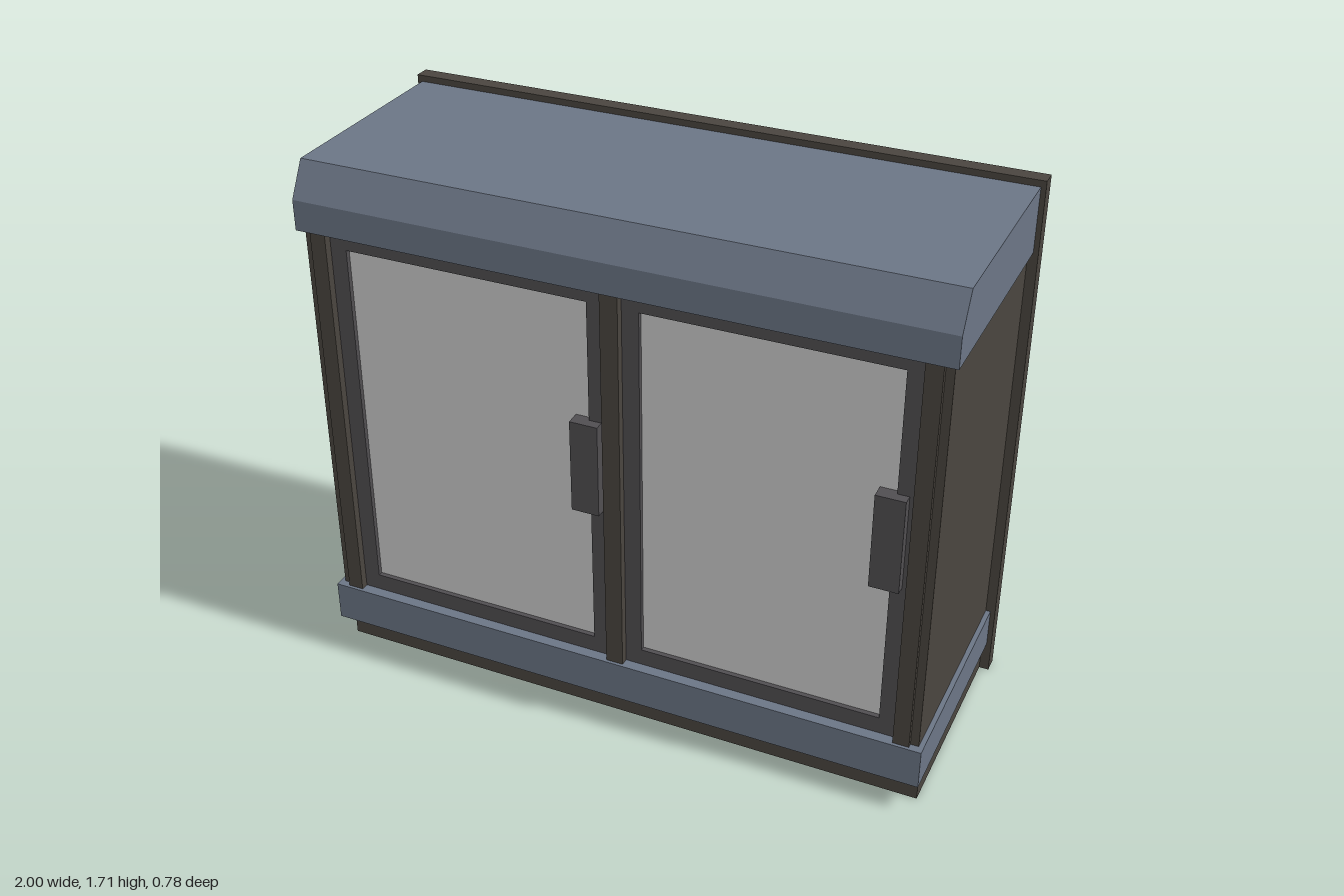
import * as THREE from 'three';

const mat = (color) => new THREE.MeshStandardMaterial({ color });

export function createModel() {
  const group = new THREE.Group();
  const dark = mat(0x4a453f), blue = mat(0x6b7585), metal = mat(0x504e51), pane = mat(0xcccccc);

  // Box given by its extents on each axis
  const box = (name, material, [x0, x1], [y0, y1], [z0, z1], parent = group) => {
    const mesh = new THREE.Mesh(new THREE.BoxGeometry(x1 - x0, y1 - y0, z1 - z0), material);
    mesh.position.set((x0 + x1) / 2, (y0 + y1) / 2, (z0 + z1) / 2);
    mesh.name = name;
    parent.add(mesh);
  };

  // Cabinet carcass
  box('backPanel', dark, [-1, 1], [0, 1.71], [-0.39, -0.34]);
  box('plinth', dark, [-0.97, 0.97], [0, 0.1], [-0.34, 0.33]);
  box('body', dark, [-0.945, 0.945], [0.23, 1.49], [-0.34, 0.32]);
  box('lowerBand', blue, [-0.985, 0.985], [0.1, 0.23], [-0.34, 0.39]);

  // Hood with a chamfered front edge, extruded across the width
  const profile = new THREE.Shape([
    [-0.34, 1.49], [0.39, 1.49], [0.39, 1.585], [0.33, 1.69], [-0.34, 1.69],
  ].map(([z, y]) => new THREE.Vector2(-z, y)));
  const hoodGeometry = new THREE.ExtrudeGeometry(profile, { depth: 1.97, bevelEnabled: false });
  hoodGeometry.translate(0, 0, -0.985).rotateY(Math.PI / 2);
  const hood = new THREE.Mesh(hoodGeometry, blue);
  hood.name = 'hood';
  group.add(hood);

  // Side walls and front posts
  for (const s of [-1, 1]) {
    const span = (a, b) => (s > 0 ? [a, b] : [-b, -a]);
    box('sideWall', dark, span(0.945, 0.97), [0.23, 1.49], [-0.34, 0.365]);
    box('cornerPost', dark, span(0.895, 0.945), [0.23, 1.49], [0.31, 0.38]);
  }
  box('centrePost', dark, [-0.02, 0.035], [0.23, 1.49], [0.31, 0.38]);

  // Two framed doors with panes and pull handles
  for (const [x0, x1, handleX] of [[-0.895, -0.02, -0.12], [0.035, 0.895, 0.79]]) {
    const door = new THREE.Group();
    door.name = 'door';
    const depth = [0.31, 0.355], rail = 0.052;
    box('stile', metal, [x0, x0 + rail], [0.23, 1.49], depth, door);
    box('stile', metal, [x1 - rail, x1], [0.23, 1.49], depth, door);
    box('rail', metal, [x0 + rail, x1 - rail], [0.23, 0.285], depth, door);
    box('rail', metal, [x0 + rail, x1 - rail], [1.438, 1.49], depth, door);
    box('pane', pane, [x0 + rail, x1 - rail], [0.285, 1.438], [0.31, 0.34], door);
    box('handle', metal, [handleX, handleX + 0.088], [0.76, 1.06], [0.34, 0.385], door);
    group.add(door);
  }
  return group;
}
